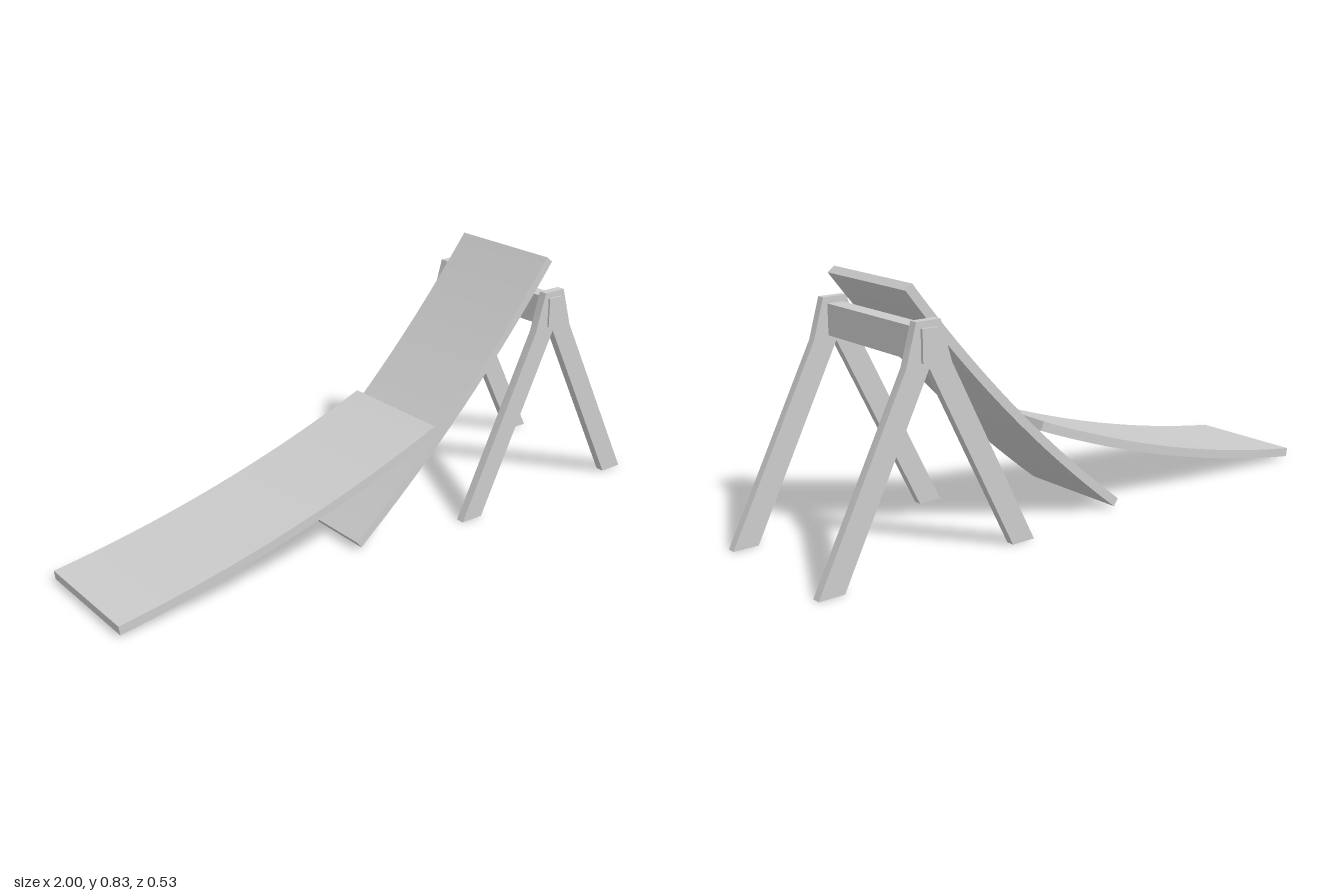
import * as THREE from 'three';
import { toCreasedNormals } from 'three/addons/utils/BufferGeometryUtils.js';

const material = new THREE.MeshStandardMaterial({ color: 0xcccccc });

// Extrudes an x/y outline between two z positions
function slab(name, points, zMin, zMax) {
  let geometry = new THREE.ExtrudeGeometry(new THREE.Shape(points), {
    depth: zMax - zMin, bevelEnabled: false,
  });
  geometry.translate(0, 0, zMin);
  geometry = toCreasedNormals(geometry, Math.PI / 6);
  const mesh = new THREE.Mesh(geometry, material);
  mesh.name = name;
  return mesh;
}

// Curved board: an arc sagging below the chord from a to b, thickened evenly
function ramp(name, a, b, sag, thickness) {
  const chord = b.clone().sub(a);
  const down = new THREE.Vector2(chord.y, -chord.x).normalize();
  const control = a.clone().add(b).multiplyScalar(0.5).addScaledVector(down, sag * 2);
  const curve = new THREE.QuadraticBezierCurve(a, control, b);
  const lower = [], upper = [];
  const n = 24;
  for (let i = 0; i <= n; i++) {
    const p = curve.getPoint(i / n);
    const t = curve.getTangent(i / n);
    const normal = new THREE.Vector2(-t.y, t.x);
    lower.push(p.clone().addScaledVector(normal, -thickness / 2));
    upper.unshift(p.clone().addScaledVector(normal, thickness / 2));
  }
  return slab(name, [...lower, ...upper], -0.207, 0.2);
}

export function createModel() {
  const model = new THREE.Group();
  model.name = 'ramp';

  // Two curved boards
  const v = (x, y) => new THREE.Vector2(x, y);
  model.add(ramp('lowerRamp', v(-0.998, 0.02), v(0.168, 0.332), 0.038, 0.03));
  model.add(ramp('upperRamp', v(-0.145, 0.017), v(0.648, 0.817), 0.034, 0.029));

  // A-shaped trestles on both sides
  const outline = [
    [0.243, 0], [0.325, 0], [0.619, 0.592], [0.916, 0], [1, 0],
    [0.697, 0.6], [0.66, 0.728], [0.578, 0.728], [0.541, 0.6],
  ].map(([x, y]) => v(x, y));
  model.add(slab('leftTrestle', outline, 0.231, 0.259));
  model.add(slab('rightTrestle', outline, -0.256, -0.228));

  // Beam joining the trestles
  const beam = new THREE.Mesh(new THREE.BoxGeometry(0.054, 0.098, 0.531), material);
  beam.name = 'crossBeam';
  beam.position.set(0.619, 0.659, 0);
  model.add(beam);

  return model;
}
